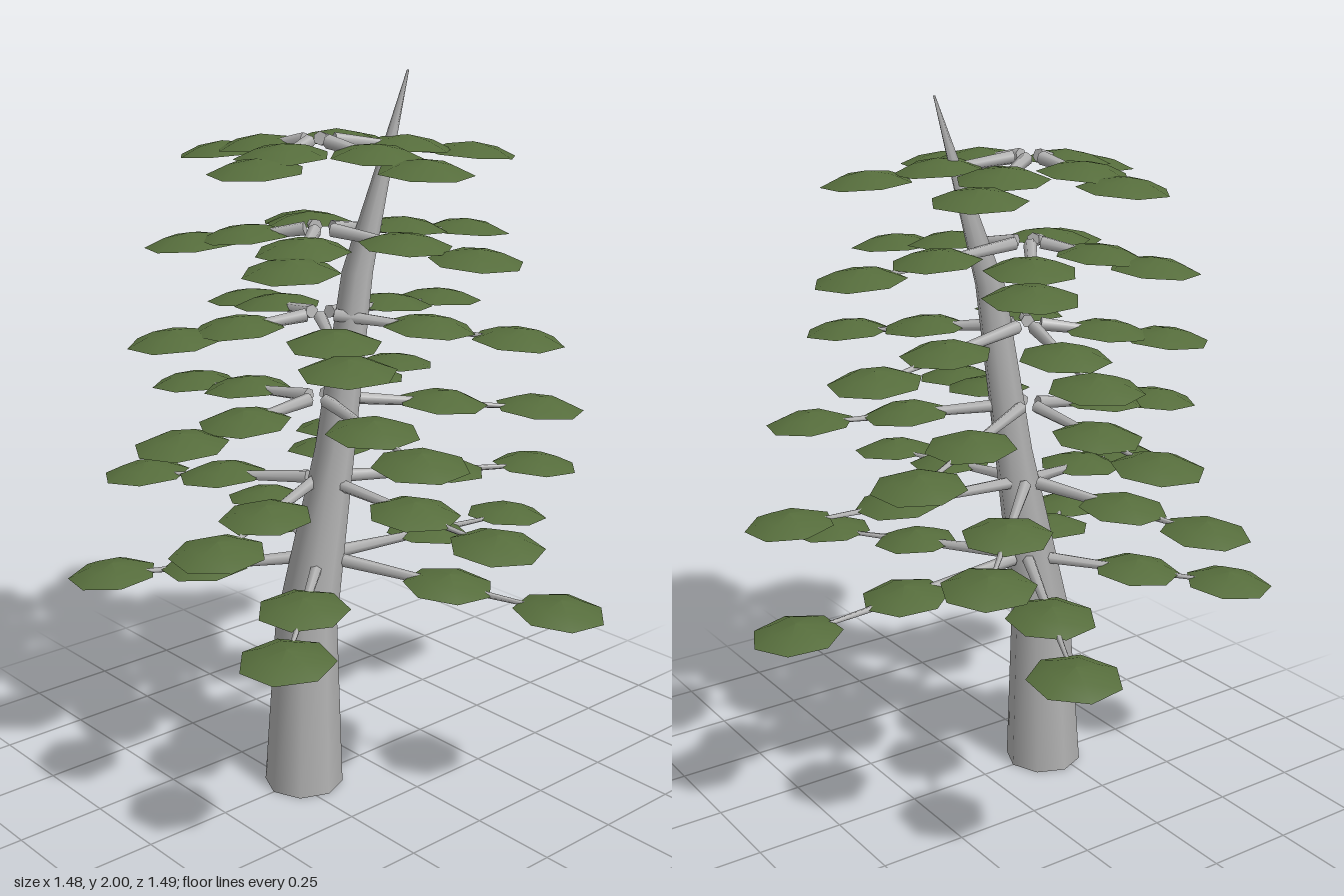
import * as THREE from 'three';

export function createModel() {
  const tree = new THREE.Group();
  tree.name = 'tree';
  const bark = new THREE.MeshStandardMaterial({ color: 0xb4b4b4 });
  bark.name = 'grey bark';
  const foliage = new THREE.MeshStandardMaterial({ color: 0x566d3c, side: THREE.DoubleSide });
  foliage.name = 'olive foliage';

  // Leaning trunk: rings of [x, y, z, radius], base to tip
  const rings = [
    [-0.215, 0, 0, 0.112],
    [-0.2, 0.49, 0, 0.087],
    [-0.125, 1, 0.04, 0.055],
    [-0.052, 1.48, 0.05, 0.042],
    [0.118, 2, 0.06, 0.003],
  ];
  const trunkGeo = new THREE.CylinderGeometry(1, 1, rings.length - 1, 8, rings.length - 1);
  const pos = trunkGeo.attributes.position;
  for (let i = 0; i < pos.count; i++) {
    const [x, y, z, r] = rings[Math.round(pos.getY(i) + (rings.length - 1) / 2)];
    pos.setXYZ(i, x + pos.getX(i) * r, y, z + pos.getZ(i) * r);
  }
  const trunk = new THREE.Mesh(trunkGeo, bark);
  trunk.name = 'trunk';
  tree.add(trunk);

  // Seven-sided shallow dome, one corner pointing along +x
  const padGeo = new THREE.LatheGeometry(
    [[0.126, 0], [0.07, 0.023], [0, 0.034]].map(([x, y]) => new THREE.Vector2(x, y)), 7
  ).rotateY(Math.PI / 2);

  function addPad(parent, name, point, angle) {
    const pad = new THREE.Mesh(padGeo, foliage);
    pad.name = name;
    pad.position.copy(point);
    pad.rotation.set(0, -angle, -0.07, 'YXZ'); // outer edge droops
    parent.add(pad);
  }

  function addBranch(parent, start, end) {
    const dir = end.clone().sub(start);
    const branch = new THREE.Mesh(new THREE.CylinderGeometry(0.004, 0.019, dir.length(), 6), bark);
    branch.name = 'branch';
    branch.position.copy(start).lerp(end, 0.5);
    branch.quaternion.setFromUnitVectors(new THREE.Vector3(0, 1, 0), dir.normalize());
    parent.add(branch);
  }

  // Six whorls of five branches, each turned a little and shorter than the one below
  for (let level = 0; level < 6; level++) {
    const whorl = new THREE.Group();
    whorl.name = 'branchWhorl' + (level + 1);
    const y = 0.615 + level * 0.231;
    const reach = 0.66 - level * 0.061;
    for (let k = 0; k < 5; k++) {
      const angle = THREE.MathUtils.degToRad(level * 19.5 + k * 72);
      const c = Math.cos(angle), s = Math.sin(angle);
      const start = new THREE.Vector3(-0.14 + 0.04 * c, y + 0.06, 0.04 * s);
      const end = new THREE.Vector3(-0.05 + reach * c, y + 0.005, reach * s);
      addBranch(whorl, start, end);
      addPad(whorl, 'outerFoliage', end, angle);
      addPad(whorl, 'innerFoliage', start.clone().lerp(end, 0.52), angle);
    }
    tree.add(whorl);
  }
  return tree;
}
